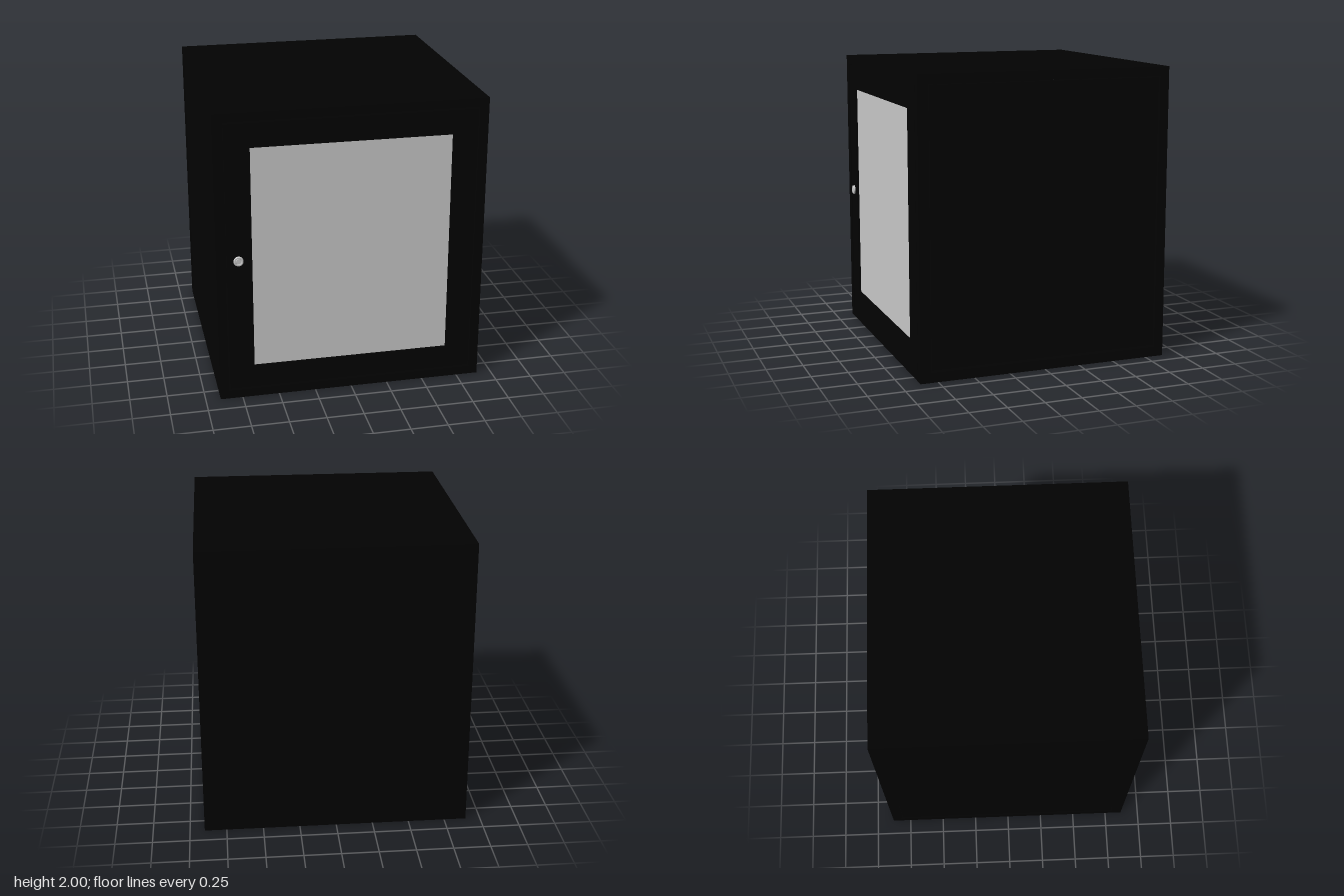
import * as THREE from 'three';

const black = new THREE.MeshStandardMaterial({ color: 0x020202 });
const grey = new THREE.MeshStandardMaterial({ color: 0xcccccc });

// Cabinet outer size
const W = 1.8, H = 2, BACK = -0.88, FRONT = 0.87;

function box(name, x0, x1, y0, y1, z0, z1, material = black) {
  const mesh = new THREE.Mesh(new THREE.BoxGeometry(x1 - x0, y1 - y0, z1 - z0), material);
  mesh.position.set((x0 + x1) / 2, (y0 + y1) / 2, (z0 + z1) / 2);
  mesh.name = name;
  return mesh;
}

function rectPath(PathType, x0, x1, y0, y1) {
  return new PathType([[x0, y0], [x1, y0], [x1, y1], [x0, y1]].map(p => new THREE.Vector2(...p)));
}

// Rectangular frame lying in the xy plane, extruded along +z
function frame(name, outer, inner, depth) {
  const shape = rectPath(THREE.Shape, ...outer);
  shape.holes.push(rectPath(THREE.Path, ...inner));
  const geometry = new THREE.ExtrudeGeometry(shape, { depth, bevelEnabled: false });
  const mesh = new THREE.Mesh(geometry, black);
  mesh.name = name;
  return mesh;
}

export function createModel() {
  const model = new THREE.Group();
  model.name = 'cabinet';
  const hw = W / 2;

  // Carcass: top, bottom and back
  model.add(
    box('topPanel', -hw, hw, H - 0.06, H, BACK, FRONT),
    box('bottomPanel', -hw, hw, 0, 0.06, BACK, FRONT),
    box('backPanel', -hw, hw, 0.06, H - 0.06, BACK, BACK + 0.04)
  );

  // Side frames, each with a loose panel set inside a narrow open gap
  for (const side of [-1, 1]) {
    const sideFrame = frame('sideFrame', [-FRONT, -BACK, 0, H], [-0.8, 0.818, 0.068, 1.938], 0.04);
    sideFrame.rotation.y = Math.PI / 2;
    sideFrame.position.x = side > 0 ? hw - 0.04 : -hw;
    const inner = side * (hw - 0.03), outer = side * (hw - 0.004);
    model.add(sideFrame, box('sidePanel', Math.min(inner, outer), Math.max(inner, outer),
      0.08, 1.93, -0.804, 0.791));
  }

  // Front surround
  const surround = frame('frontFrame', [-hw, hw, 0, H], [-0.84, 0.84, 0.06, 1.94], 0.05);
  surround.position.z = FRONT - 0.05;
  model.add(surround);

  // Door with window
  const door = new THREE.Group();
  door.name = 'door';
  const doorFrame = frame('doorFrame', [-0.83, 0.83, 0.07, 1.93], [-0.665, 0.665, 0.23, 1.765], 0.045);
  doorFrame.position.z = FRONT - 0.047;
  door.add(doorFrame, box('windowPane', -0.67, 0.67, 0.225, 1.77, FRONT - 0.03, FRONT - 0.015, grey));

  // Round lock with a stepped rim
  const profile = [[0, 0], [0.033, 0], [0.033, 0.008], [0.029, 0.012], [0.022, 0.012],
    [0.02, 0.008], [0.018, 0.008], [0.017, 0.011], [0, 0.011]];
  const lock = new THREE.Mesh(
    new THREE.LatheGeometry(profile.map(p => new THREE.Vector2(...p)), 32), grey.clone());
  lock.material.flatShading = true;
  lock.name = 'doorLock';
  lock.rotation.x = Math.PI / 2;
  lock.position.set(-0.755, 1, FRONT - 0.002);
  door.add(lock);
  model.add(door);

  return model;
}
